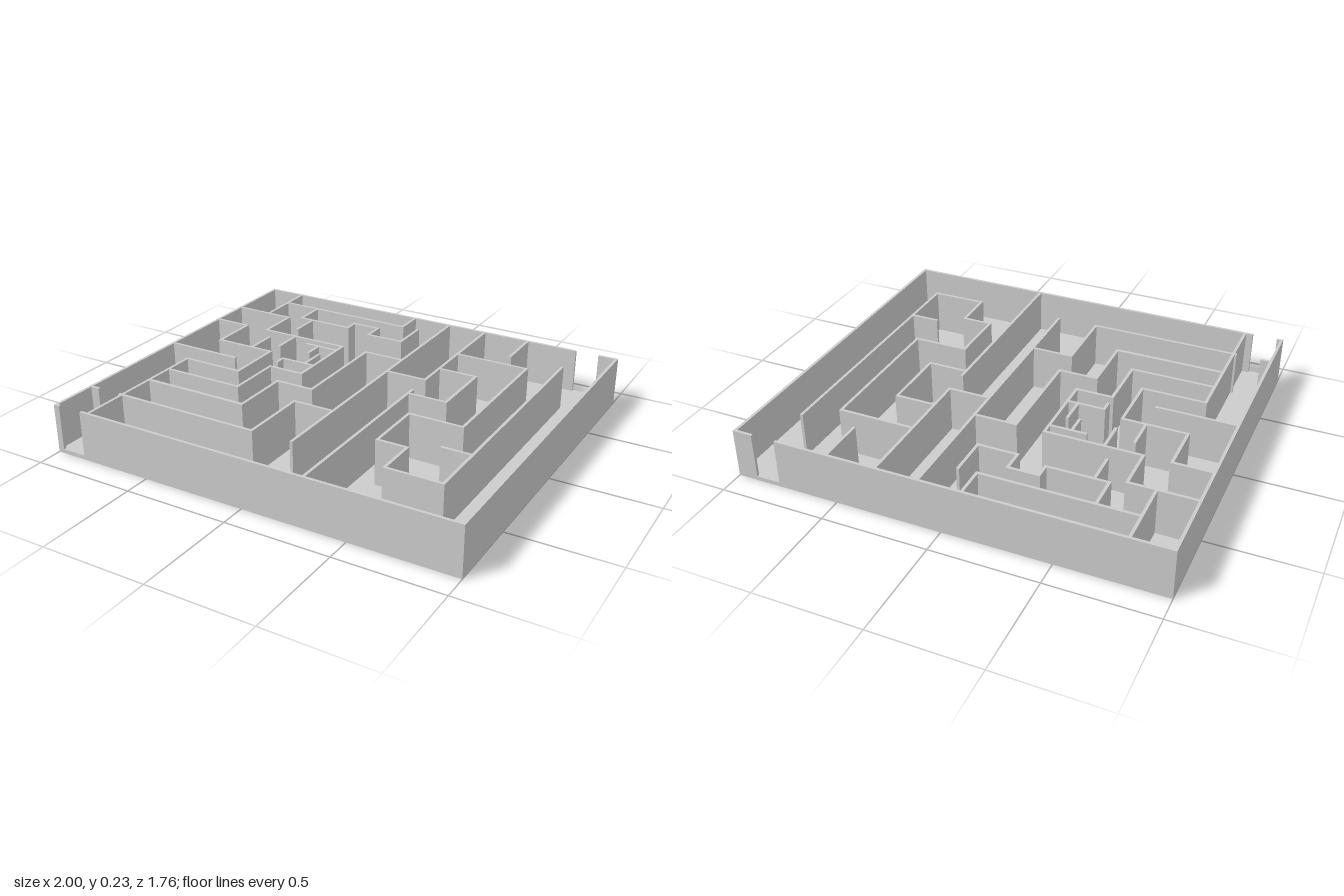
import * as THREE from 'three';

const H = 0.235, FLOOR = 0.02, T = 0.014, X = 1, Z = 0.88;

// Wall paths as x, z corner lists
const rightHandWalls = [
  [0.1, -Z, 0.1, 0.64],
  [0.3, -Z, 0.3, -0.19, 0.1, -0.19],
  [0.3, -0.545, 0.66, -0.545, 0.66, 0.165, 0.4, 0.165, 0.4, 0.45, 0.54, 0.45, 0.54, 0.645, 0.8, 0.645, 0.8, -0.645],
  [0.665, 0.375, 0.8, 0.375],
  [0.535, -Z, 0.535, -0.65],
  [0.3, -0.34, 0.49, -0.34, 0.49, -0.02, 0.3, -0.02],
  [0.3, -0.06, 0.3, Z],
];
const backWalls = [
  [-0.81, -Z, -0.81, -0.545],
  [-0.81, -0.73, -0.1, -0.73, -0.1, -Z],
  [-0.62, -0.73, -0.62, -0.575, -0.34, -0.575, -0.34, -0.645, -0.2, -0.645, -0.2, -0.545, -0.015, -0.545, -0.015, -0.73],
  [-0.555, -0.575, -0.555, -0.43],
];
const spiralWalls = [
  [-X, -0.545, -0.685, -0.545, -0.685, -0.34, -0.235, -0.34, -0.235, 0.04, -0.41, 0.04, -0.41, 0.31, -0.81, 0.31],
  [0.1, -0.34, -0.1, -0.34, -0.1, 0.165, -0.285, 0.165, -0.285, 0.452, -0.81, 0.455],
  [-X, -0.34, -0.81, -0.34, -0.81, -0.11, -0.51, -0.11, -0.51, 0.165, -0.81, 0.165, -0.81, Z],
  [-X, 0.04, -0.62, 0.04],
  [-0.62, -0.26, -0.62, -0.11],
  [-0.51, -0.34, -0.51, -0.195],
  [-0.405, -0.285, -0.235, -0.285],
  [-0.34, -0.285, -0.34, -0.195],
  [-0.285, -0.195, -0.285, -0.07],
  [-0.235, -0.07, -0.41, -0.07, -0.41, -0.02],
];
const entranceWalls = [
  [0.1, 0.31, -0.1, 0.31, -0.1, 0.645, -0.82, 0.645],
  [-0.95, 0.645, -X, 0.645],
];

export function createModel() {
  const model = new THREE.Group();
  const material = new THREE.MeshStandardMaterial({ color: 0xcccccc, flatShading: true });

  const box = (parent, name, x0, x1, y0, y1, z0, z1) => {
    const mesh = new THREE.Mesh(new THREE.BoxGeometry(x1 - x0, y1 - y0, z1 - z0), material);
    mesh.position.set((x0 + x1) / 2, (y0 + y1) / 2, (z0 + z1) / 2);
    mesh.name = name;
    parent.add(mesh);
  };

  // One upright box per segment, kept inside the outer shell
  const buildWalls = (name, paths) => {
    const group = new THREE.Group();
    group.name = name;
    const clamp = THREE.MathUtils.clamp;
    for (const p of paths) {
      for (let i = 0; i + 3 < p.length; i += 2) {
        const [ax, az, bx, bz] = p.slice(i, i + 4);
        box(group, 'wall',
          clamp(Math.min(ax, bx) - T / 2, -X + T, X - T), clamp(Math.max(ax, bx) + T / 2, -X + T, X - T),
          FLOOR, H,
          clamp(Math.min(az, bz) - T / 2, -Z + T, Z - T), clamp(Math.max(az, bz) + T / 2, -Z + T, Z - T));
      }
    }
    model.add(group);
  };

  box(model, 'floor', -X, X, 0, FLOOR, -Z, Z);

  // Outer walls, with a doorway in the front and the back
  for (const s of [-1, 1]) {
    const x = s * (X - T / 2);
    box(model, 'sideWall', x - T / 2, x + T / 2, FLOOR, H, -Z, Z);
  }
  box(model, 'frontWallCorner', -X + T, -0.97, FLOOR, H, Z - T, Z);
  box(model, 'frontWall', -0.85, X - T, FLOOR, H, Z - T, Z);
  box(model, 'backWall', -X + T, 0.79, FLOOR, H, -Z, -Z + T);
  box(model, 'backWallCorner', 0.905, X - T, FLOOR, H, -Z, -Z + T);

  // Maze partitions
  buildWalls('eastPartitions', rightHandWalls);
  buildWalls('backPartitions', backWalls);
  buildWalls('spiralPartitions', spiralWalls);
  buildWalls('entrancePartitions', entranceWalls);

  return model;
}
